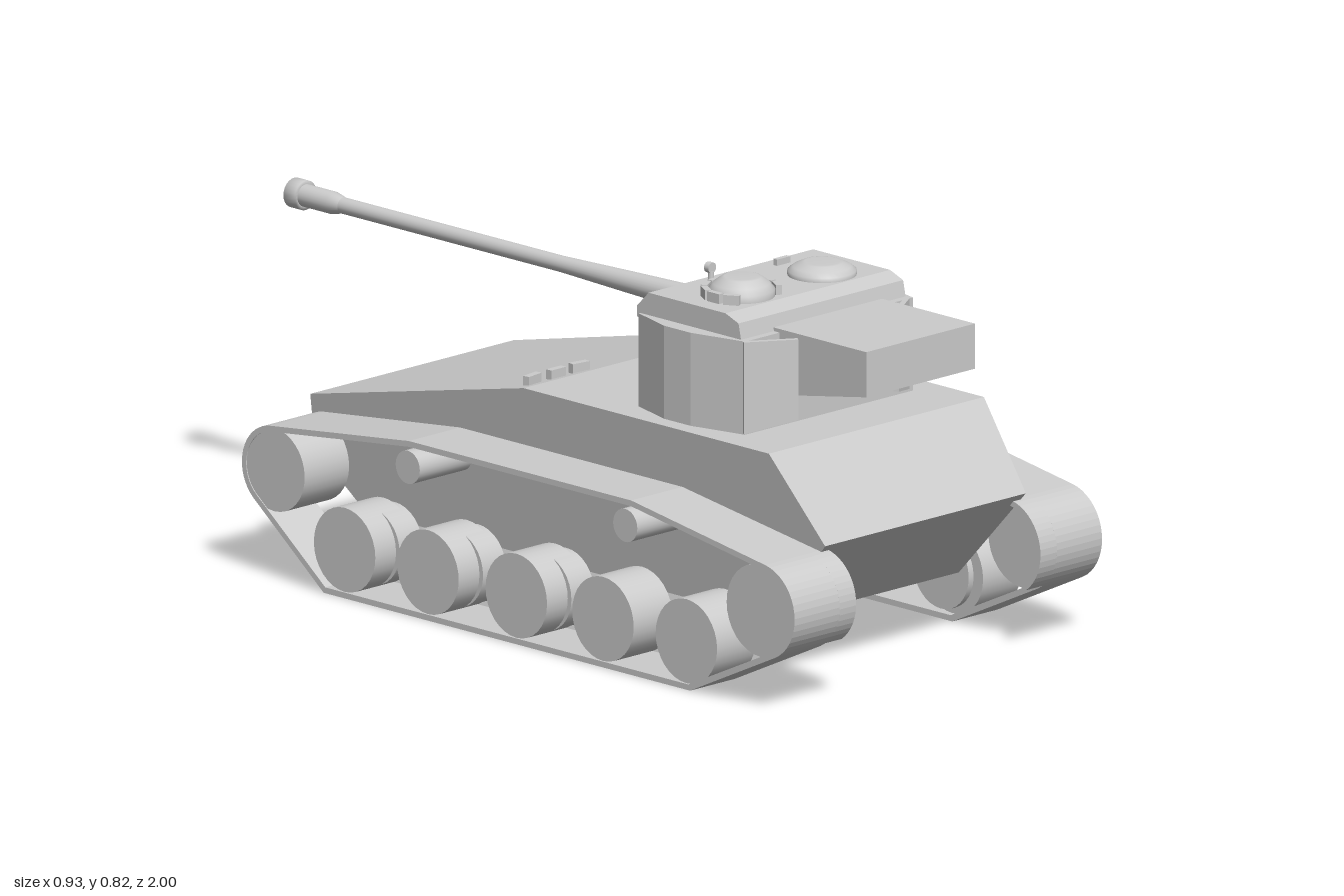
import * as THREE from 'three';

const mat = new THREE.MeshStandardMaterial({ color: 0xcccccc, side: THREE.DoubleSide });
const rad = THREE.MathUtils.degToRad;

function add(parent, name, geo, x = 0, y = 0, z = 0) {
  const mesh = new THREE.Mesh(geo, mat);
  mesh.name = name;
  mesh.position.set(x, y, z);
  parent.add(mesh);
  return mesh;
}

// Side profile of [z, y] points extruded across x from x0 to x1
function sideExtrude(points, x0, x1, hole) {
  const toVec = (p) => new THREE.Vector2(p[0], p[1]);
  const shape = new THREE.Shape(points.map(toVec));
  if (hole) shape.holes.push(new THREE.Path(hole.map(toVec)));
  const geo = new THREE.ExtrudeGeometry(shape, { depth: x1 - x0, bevelEnabled: false });
  return geo.rotateY(-Math.PI / 2).translate(x1, 0, 0);
}

// Cylinder lying along x between x0 and x1
function axle(r, x0, x1) {
  return new THREE.CylinderGeometry(r, r, x1 - x0, 32).rotateZ(Math.PI / 2).translate((x0 + x1) / 2, 0, 0);
}

// Skin over mirrored half outlines; each ring is { y, half: [[x, z], ...] } from back to front
function loft(rings) {
  const loops = rings.map(({ y, half }) => [
    ...half.map(([x, z]) => [x, y, z]),
    ...[...half].reverse().map(([x, z]) => [-x, y, z]),
  ]);
  const pos = [];
  const tri = (a, b, c) => pos.push(...a, ...b, ...c);
  const n = loops[0].length;
  for (let k = 0; k < loops.length - 1; k++) {
    const lo = loops[k], up = loops[k + 1];
    for (let i = 0; i < n; i++) {
      const j = (i + 1) % n;
      tri(lo[i], lo[j], up[j]);
      tri(lo[i], up[j], up[i]);
    }
  }
  const top = loops[loops.length - 1], bottom = loops[0];
  for (let i = 1; i < n - 1; i++) {
    tri(top[0], top[i], top[i + 1]);
    tri(bottom[0], bottom[i + 1], bottom[i]);
  }
  const geo = new THREE.BufferGeometry();
  geo.setAttribute('position', new THREE.Float32BufferAttribute(pos, 3));
  geo.computeVertexNormals();
  return geo;
}

// Points on an end wheel arc in the [z, y] plane
function arc(cz, cy, r, a0, a1, steps = 18) {
  return Array.from({ length: steps + 1 }, (_, i) => {
    const a = rad(a0 + ((a1 - a0) * i) / steps);
    return [cz + r * Math.cos(a), cy + r * Math.sin(a)];
  });
}

// Upper part of the track path, inset by t
function upperRun(t, start) {
  return [
    ...arc(0.893, 0.22, 0.107 - t, start, 81),
    [0.5, 0.39 - t], [-0.18, 0.39 - t],
    ...arc(-0.593, 0.245, 0.097 - t, 96, 230),
  ];
}

function buildHull() {
  const geo = sideExtrude([
    [0.75, 0.133], [0.93, 0.34], [0.78, 0.522], [0.03, 0.522],
    [-0.64, 0.375], [-0.64, 0.25], [-0.5, 0.133],
  ].reverse(), -1, 1);
  // Sides lean outward with height
  const p = geo.attributes.position;
  for (let i = 0; i < p.count; i++) {
    p.setX(i, Math.sign(p.getX(i)) * (0.28 + (p.getY(i) - 0.133) * 0.12));
  }
  geo.computeVertexNormals();
  return geo;
}

function buildRunningGear(side) {
  const g = new THREE.Group();
  g.name = side > 0 ? 'leftRunningGear' : 'rightRunningGear';
  const span = (a, b) => (side > 0 ? [a, b] : [-b, -a]);
  const t = 0.013;
  const outer = [...upperRun(0, -63), [-0.44, 0], [0.68, 0]];
  const inner = [...upperRun(t, -63), [-0.435, t], [0.675, t]];
  add(g, 'track', sideExtrude(outer, ...span(0.33, 0.467), inner));
  // Inner strip of the upper run reaching the hull
  const strip = [...upperRun(0, -54), ...upperRun(t, -54).reverse()];
  add(g, 'trackInnerStrip', sideExtrude(strip, ...span(0.28, 0.33)));

  add(g, 'rearEndWheel', axle(0.103, ...span(0.33, 0.465)), 0, 0.22, 0.893);
  add(g, 'frontEndWheel', axle(0.093, ...span(0.33, 0.465)), 0, 0.245, -0.593);
  [0.665, 0.41, 0.145, -0.125, -0.38].forEach((z, i) => {
    add(g, 'roadWheel', axle(0.094, ...span(0.345, 0.463)), 0, 0.107, z);
    add(g, 'innerRoadWheel', axle(0.085, ...span(0.33, 0.4)), 0, 0.107, z + (i < 2 ? -0.02 : 0.02));
  });
  for (const z of [0.475, -0.19]) {
    add(g, 'returnRoller', axle(0.037, ...span(0.29, 0.46)), 0, 0.328, z);
  }
  return g;
}

// Round hatch with a shallow domed lid
function hatch(r, h) {
  return new THREE.LatheGeometry([
    [r, 0], [r, h * 0.35], [r * 0.85, h * 0.65], [r * 0.6, h * 0.95], [r * 0.5, h], [0, h],
  ].map(([x, y]) => new THREE.Vector2(x, y)), 32);
}

function buildTurret() {
  const g = new THREE.Group();
  g.name = 'turret';
  const sides = [[0.255, 0.635], [0.287, 0.5], [0.287, 0.42], [0.255, 0.31]];
  const upper = [...sides, [0.15, 0.285]];
  add(g, 'turretBody', loft([
    { y: 0.52, half: [...sides, [0.127, 0.18]] },
    { y: 0.66, half: upper },
    { y: 0.73, half: upper },
  ]));
  add(g, 'turretRoof', sideExtrude([
    [0.3, 0.72], [0.62, 0.72], [0.61, 0.765], [0.57, 0.78], [0.335, 0.78], [0.3, 0.745],
  ], -0.25, 0.25));
  add(g, 'rearBustle', sideExtrude([
    [0.6, 0.595], [0.66, 0.595], [0.9, 0.637], [0.9, 0.738], [0.6, 0.738],
  ], -0.15, 0.18));

  // Thin angled plates behind the turret, with slanted lower edges
  for (const s of [1, -1]) {
    const shape = new THREE.Shape([[0, 0.525], [0.12, 0.55], [0.12, 0.73], [0, 0.73]]
      .map(([x, y]) => new THREE.Vector2(x, y)));
    const geo = new THREE.ExtrudeGeometry(shape, { depth: 0.012, bevelEnabled: false });
    const plate = add(g, 'rearCheekPlate', geo, s * 0.255, 0, 0.628);
    plate.rotation.y = s > 0 ? Math.PI + rad(33) : -rad(33);
  }

  // Commander cupola with a ring of vision blocks
  const cupola = new THREE.Group();
  cupola.name = 'cupola';
  cupola.position.set(-0.122, 0.78, 0.49);
  add(cupola, 'cupolaLid', hatch(0.073, 0.044));
  for (let i = 0; i < 9; i++) {
    const a = rad(-30 + i * 30);
    const block = add(cupola, 'visionBlock', new THREE.BoxGeometry(0.014, 0.024, 0.036),
      0.079 * Math.cos(a), 0.01, -0.079 * Math.sin(a));
    block.rotation.y = a;
  }
  g.add(cupola);
  add(g, 'loaderHatch', hatch(0.075, 0.029), 0.123, 0.78, 0.49);

  // Small roof fittings
  add(g, 'roofLampPost', new THREE.CylinderGeometry(0.006, 0.008, 0.03, 10), -0.095, 0.79, 0.37);
  add(g, 'roofLamp', new THREE.CylinderGeometry(0.012, 0.012, 0.014, 14).rotateX(Math.PI / 2), -0.095, 0.813, 0.367);
  add(g, 'roofPeriscope', new THREE.BoxGeometry(0.04, 0.016, 0.012), 0.12, 0.786, 0.37);
  return g;
}

function buildGun() {
  const g = new THREE.Group();
  g.name = 'gun';
  g.position.y = 0.695;
  // Profile as [radius, distance along the barrel from z = 0.32]
  const profile = [
    [0, 0], [0.046, 0], [0.046, 0.03], [0.036, 0.05], [0.03, 0.07], [0.024, 0.3], [0.018, 0.5],
    [0.018, 1.17], [0.025, 1.2], [0.025, 1.285], [0.033, 1.285], [0.033, 1.32], [0.02, 1.32], [0.018, 1.28], [0, 1.28],
  ].map(([r, d]) => new THREE.Vector2(r, d));
  const parts = [['mantletCollar', 0, 5], ['barrel', 4, 8], ['muzzleSleeve', 7, 10], ['muzzleRing', 9, 15]];
  for (const [name, a, b] of parts) {
    add(g, name, new THREE.LatheGeometry(profile.slice(a, b), 24).rotateX(-Math.PI / 2), 0, 0, 0.32);
  }
  return g;
}

export function createModel() {
  const model = new THREE.Group();
  model.name = 'tank';
  add(model, 'hull', buildHull());
  model.add(buildRunningGear(1), buildRunningGear(-1), buildTurret(), buildGun());

  // Driver periscopes at the deck edge
  [[-0.272, 0.15], [-0.2, 0], [-0.13, -0.15]].forEach(([x, turn]) => {
    const p = add(model, 'driverPeriscope', new THREE.BoxGeometry(0.045, 0.022, 0.016), x, 0.526, 0.002);
    p.rotation.y = turn;
  });
  return model;
}
